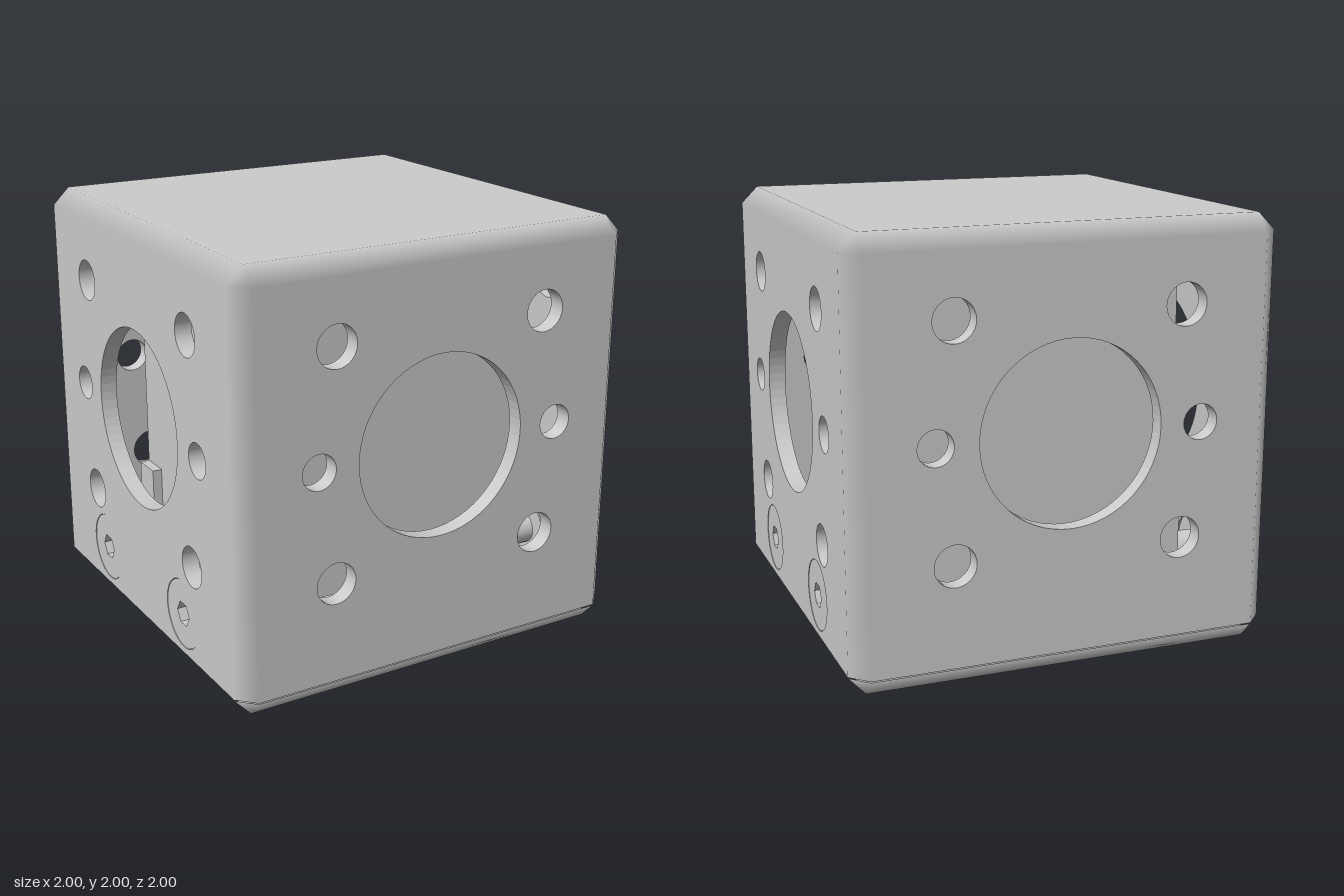
import * as THREE from 'three';

const E = 0.92;      // edge of the flat panels, where the chamfers start
const SEAM = 0.09;   // joint between shell and base
const grey = new THREE.MeshStandardMaterial({ color: 0xcccccc });

function addMesh(parent, name, geometry, x = 0, y = 0, z = 0) {
  const m = new THREE.Mesh(geometry, grey);
  m.name = name;
  m.position.set(x, y, z);
  parent.add(m);
  return m;
}

// Rectangle from y0 to y1 with round holes [x, y, radius]
function plateShape(y0, y1, holes) {
  const s = new THREE.Shape();
  s.moveTo(-E, y0).lineTo(E, y0).lineTo(E, y1).lineTo(-E, y1).closePath();
  for (const [x, y, r] of holes) s.holes.push(new THREE.Path().absarc(x, y, r, 0, Math.PI * 2, true));
  return s;
}

const extrude = (shape, depth) =>
  new THREE.ExtrudeGeometry(shape, { depth, bevelEnabled: false, curveSegments: 32 });

// Face from corner points and normals, for the softly shaded chamfers
function patch(points, normals, flip) {
  const g = new THREE.BufferGeometry();
  g.setAttribute('position', new THREE.Float32BufferAttribute(points.flat(), 3));
  g.setAttribute('normal', new THREE.Float32BufferAttribute(normals.flat(), 3));
  const index = points.length === 4 ? [0, 1, 2, 0, 2, 3] : [0, 1, 2];
  g.setIndex(flip ? index.reverse() : index);
  return g;
}

// One side's chamfer from level yE to the cap at yC, with its corner
function capChamfer(parent, yE, yC) {
  const flip = yC < yE, X = [1, 0, 0], Z = [0, 0, 1], Y = [0, flip ? -1 : 1, 0];
  addMesh(parent, 'edgeChamfer', patch(
    [[-E, yE, 1], [E, yE, 1], [E, yC, E], [-E, yC, E]], [Z, Z, Y, Y], flip));
  addMesh(parent, 'cornerChamfer', patch(
    [[E, yE, 1], [1, yE, E], [E, yC, E]], [Z, X, Y], flip));
}

// Flush screw with a hexagonal socket
function screw(parent, x, y) {
  const g = new THREE.Group();
  g.name = 'screw';
  const head = new THREE.Shape().absarc(0, 0, 0.163, 0, Math.PI * 2);
  const hex = new THREE.Path();
  for (let i = 0; i < 6; i++) {
    const a = -i * Math.PI / 3;
    hex[i ? 'lineTo' : 'moveTo'](0.06 * Math.cos(a), 0.06 * Math.sin(a));
  }
  hex.closePath();
  head.holes.push(hex);
  addMesh(g, 'screwHead', extrude(head, 0.07), 0, 0, -0.07);
  addMesh(g, 'screwShaft', new THREE.CylinderGeometry(0.08, 0.08, 0.2, 24), 0, 0, -0.17).rotation.x = Math.PI / 2;
  g.position.set(x, y, 0.998);
  parent.add(g);
}

export function createModel() {
  const model = new THREE.Group();
  model.name = 'cubeCase';

  const faceHoles = [[0, 1.09, 0.425]];
  for (const s of [-1, 1])
    faceHoles.push([s * 0.535, 1.625, 0.097], [s * 0.62, 1.09, 0.082], [s * 0.535, 0.56, 0.097]);
  const screwSpots = [[-0.425, 0.285], [0.425, 0.285]];

  // Four pierced sides; the left and right ones carry the screws
  for (let i = 0; i < 4; i++) {
    const side = new THREE.Group();
    side.name = ['frontSide', 'leftSide', 'backSide', 'rightSide'][i];
    side.rotation.y = i * Math.PI / 2;
    const hasScrews = i % 2 === 1;
    const holes = hasScrews ? [...faceHoles, ...screwSpots.map(([x, y]) => [x, y, 0.165])] : faceHoles;
    addMesh(side, 'sidePanel', extrude(plateShape(SEAM, E + 1, holes), 1 - E), 0, 0, E);
    addMesh(side, 'uprightChamfer', patch(
      [[E, SEAM, 1], [1, SEAM, E], [1, E + 1, E], [E, E + 1, 1]],
      [[0, 0, 1], [1, 0, 0], [1, 0, 0], [0, 0, 1]]));
    capChamfer(side, E + 1, 2);
    capChamfer(side, SEAM - 0.004, 0);
    if (hasScrews) {
      for (const [x, y] of screwSpots) screw(side, x, y);
      // Small inner tab beside the lower hole
      addMesh(side, 'innerTab', new THREE.BoxGeometry(0.15, 0.5, 0.05), -0.585, 0.35, 0.685);
    }
    model.add(side);
  }

  // Top plate
  addMesh(model, 'topPlate', new THREE.BoxGeometry(2 * E, 0.08, 2 * E), 0, 1.96, 0);

  // Base plate with a hole in the middle
  const base = addMesh(model, 'basePlate', extrude(plateShape(-E, E, [[0, 0, 0.1]]), SEAM), 0, SEAM, 0);
  base.rotation.x = Math.PI / 2;

  // Inner core seen behind the openings
  addMesh(model, 'innerCore', new THREE.BoxGeometry(1.325, 1.6, 1.325), 0, 1.12, 0);

  return model;
}
